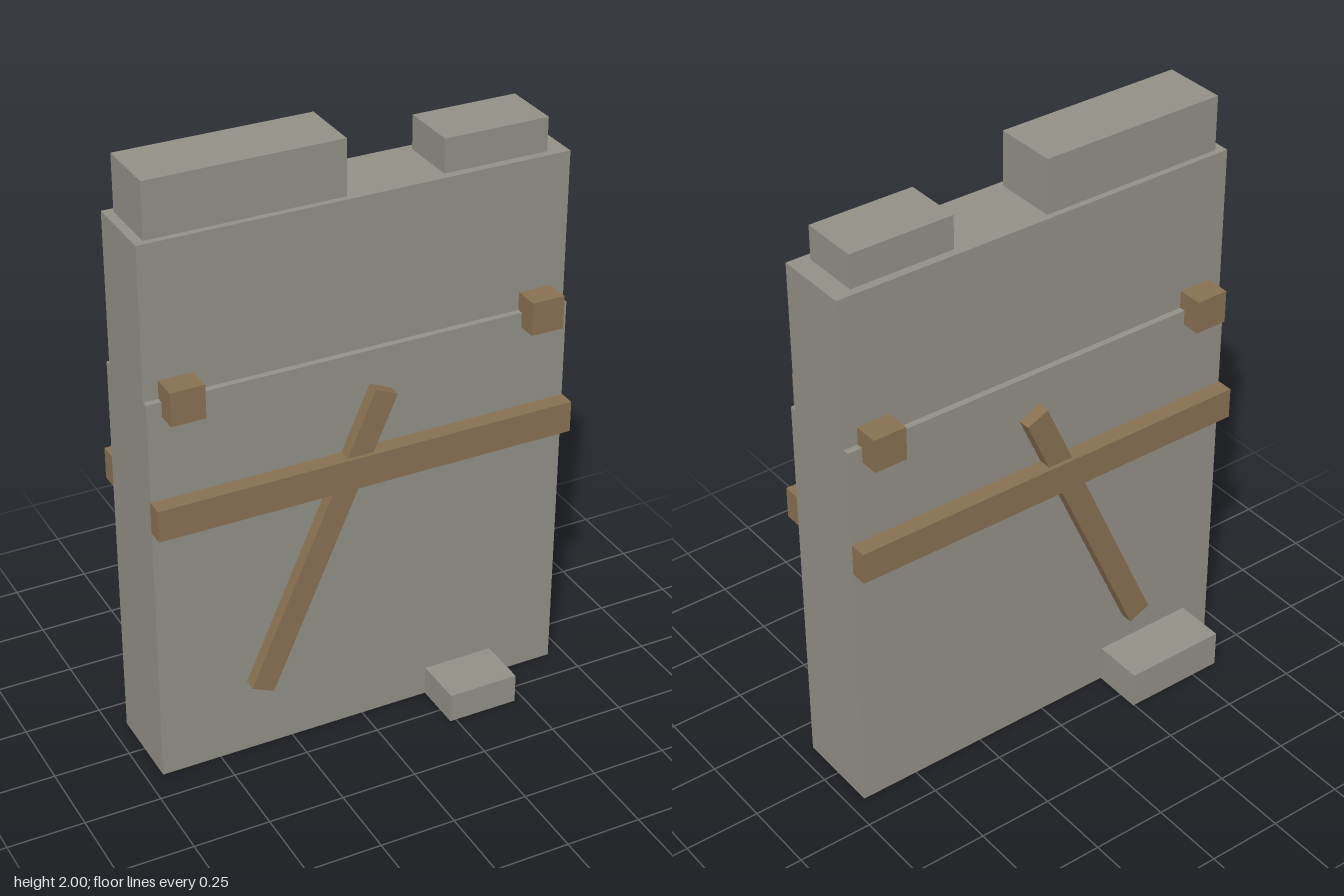
import * as THREE from 'three';

export function createModel() {
  const model = new THREE.Group();
  model.name = 'wallSection';

  const stone = new THREE.MeshStandardMaterial({ color: 0x918f86 });
  stone.name = 'stone';
  const timber = new THREE.MeshStandardMaterial({ color: 0x887052 });
  timber.name = 'timber';

  // Box given by its extents along each axis
  function block(name, material, [x0, x1], [y0, y1], [z0, z1]) {
    const mesh = new THREE.Mesh(new THREE.BoxGeometry(x1 - x0, y1 - y0, z1 - z0), material);
    mesh.position.set((x0 + x1) / 2, (y0 + y1) / 2, (z0 + z1) / 2);
    mesh.name = name;
    model.add(mesh);
    return mesh;
  }

  // Wall: thicker lower part with a thinner upper part set back on both faces
  const lower = 0.146, upper = 0.125, ledge = 1.325;
  block('lowerWall', stone, [-0.697, 0.697], [0, ledge], [-lower, lower]);
  block('upperWall', stone, [-0.697, 0.697], [ledge, 1.82], [-upper, upper]);

  // Broken crest blocks
  block('largeCrestBlock', stone, [-0.667, -0.037], [1.82, 2], [-0.105, 0.105]);
  block('smallCrestBlock', stone, [0.285, 0.633], [1.82, 1.93], [-0.098, 0.098]);

  // Fallen stones at the foot of the wall
  block('frontFootStone', stone, [0.23, 0.468], [0, 0.1], [lower, 0.316]);
  block('backFootStone', stone, [-0.595, -0.246], [0, 0.127], [-0.316, -lower]);

  // Timbers on both faces
  for (const [side, s] of [['front', 1], ['back', -1]]) {
    const depth = (a, b) => (s > 0 ? [a, b] : [-b, -a]);

    block(side + 'Beam', timber, [-0.698, 0.698], [0.895, 1], depth(lower, 0.202));

    // Slanted brace, leaning the same way in x on both faces
    const brace = block(side + 'Brace', timber, [-0.196, -0.116], [0.198, 1.241], depth(0.14, 0.188));
    brace.rotation.z = -0.418;

    // Square peg ends
    for (const [hand, x] of [['Left', 0.594], ['Right', -0.594]]) {
      block(side + hand + 'Peg', timber, [x - 0.055, x + 0.055], [1.275, 1.385], depth(0.1, 0.209));
    }
  }

  return model;
}
